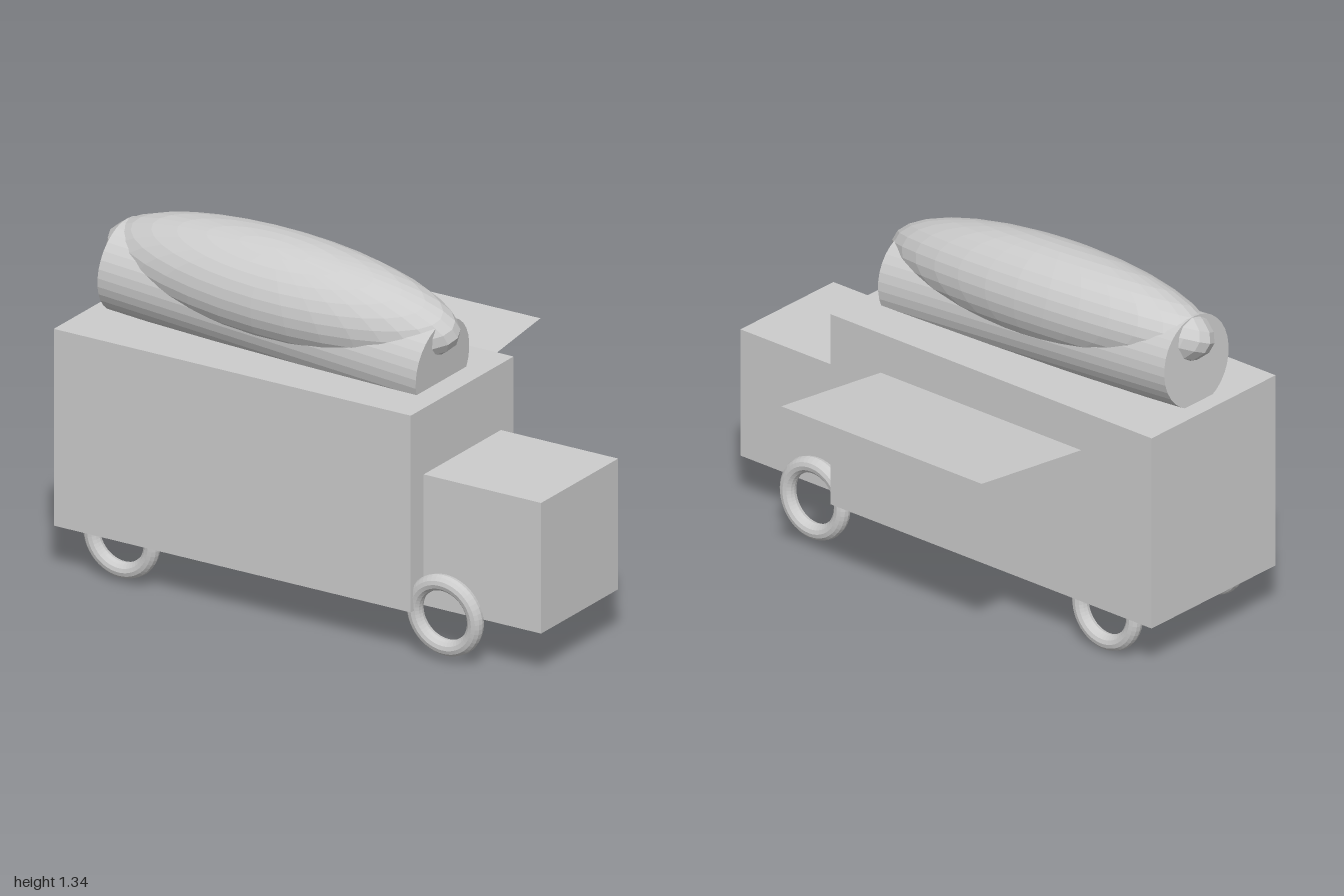
import * as THREE from 'three';

export function createModel() {
  const model = new THREE.Group();
  const grey = new THREE.MeshStandardMaterial({ color: 0xcccccc, flatShading: true });
  const sheet = new THREE.MeshStandardMaterial({ color: 0xcccccc, side: THREE.DoubleSide });

  const add = (name, geometry, position, material = grey) => {
    const mesh = new THREE.Mesh(geometry, material);
    mesh.name = name;
    mesh.position.set(...position);
    model.add(mesh);
    return mesh;
  };

  // Box given by its lower and upper corners
  const addBox = (name, [x0, y0, z0], [x1, y1, z1]) =>
    add(name, new THREE.BoxGeometry(x1 - x0, y1 - y0, z1 - z0),
      [(x0 + x1) / 2, (y0 + y1) / 2, (z0 + z1) / 2]);

  // Truck
  addBox('body', [-1, 0.187, -0.065], [0.505, 0.937, 0.602]);
  addBox('cab', [0.505, 0.187, 0.018], [1, 0.685, 0.518]);

  // Ring wheels, each leaning a little
  const wheelGeometry = new THREE.TorusGeometry(0.127, 0.03, 12, 48);
  [
    ['frontWheelNear', 0.62, 0.187, 0.555, 0.08],
    ['frontWheelFar', 0.608, 0.165, -0.03, 0.03],
    ['rearWheelNear', -0.75, 0.18, 0.545, 0.06],
    ['rearWheelFar', -0.75, 0.167, -0.015, 0.04],
  ].forEach(([name, x, y, z, lean]) => {
    add(name, wheelGeometry, [x, y, z]).rotation.x = lean;
  });

  // Serving hatch on the back wall and its raised awning
  const width = 0.94, hatchX = -0.2;
  add('hatch', new THREE.PlaneGeometry(width, 0.36), [hatchX, 0.602, -0.067], sheet);
  const rise = 0.067, reach = 0.535;
  add('awning', new THREE.PlaneGeometry(width, Math.hypot(rise, reach)),
    [hatchX, 0.783 + rise / 2, -0.065 - reach / 2], sheet)
    .rotation.x = -Math.PI / 2 + Math.atan2(rise, reach);

  // Roof roll, sloping down toward the cab
  const rollGeometry = new THREE.CylinderGeometry(0.173, 0.173, 1.345, 32);
  rollGeometry.rotateZ(Math.PI / 2);
  add('roofRoll', rollGeometry, [-0.25, 1.045, 0.267]).rotation.z = -0.07;

  // Long oval filling lying on the roll
  const filling = add('rollFilling', new THREE.SphereGeometry(1, 32, 16), [-0.25, 1.148, 0.267]);
  filling.scale.set(0.736, 0.193, 0.216);
  filling.rotation.set(0.4, 0, -0.045, 'ZYX');

  return model;
}
